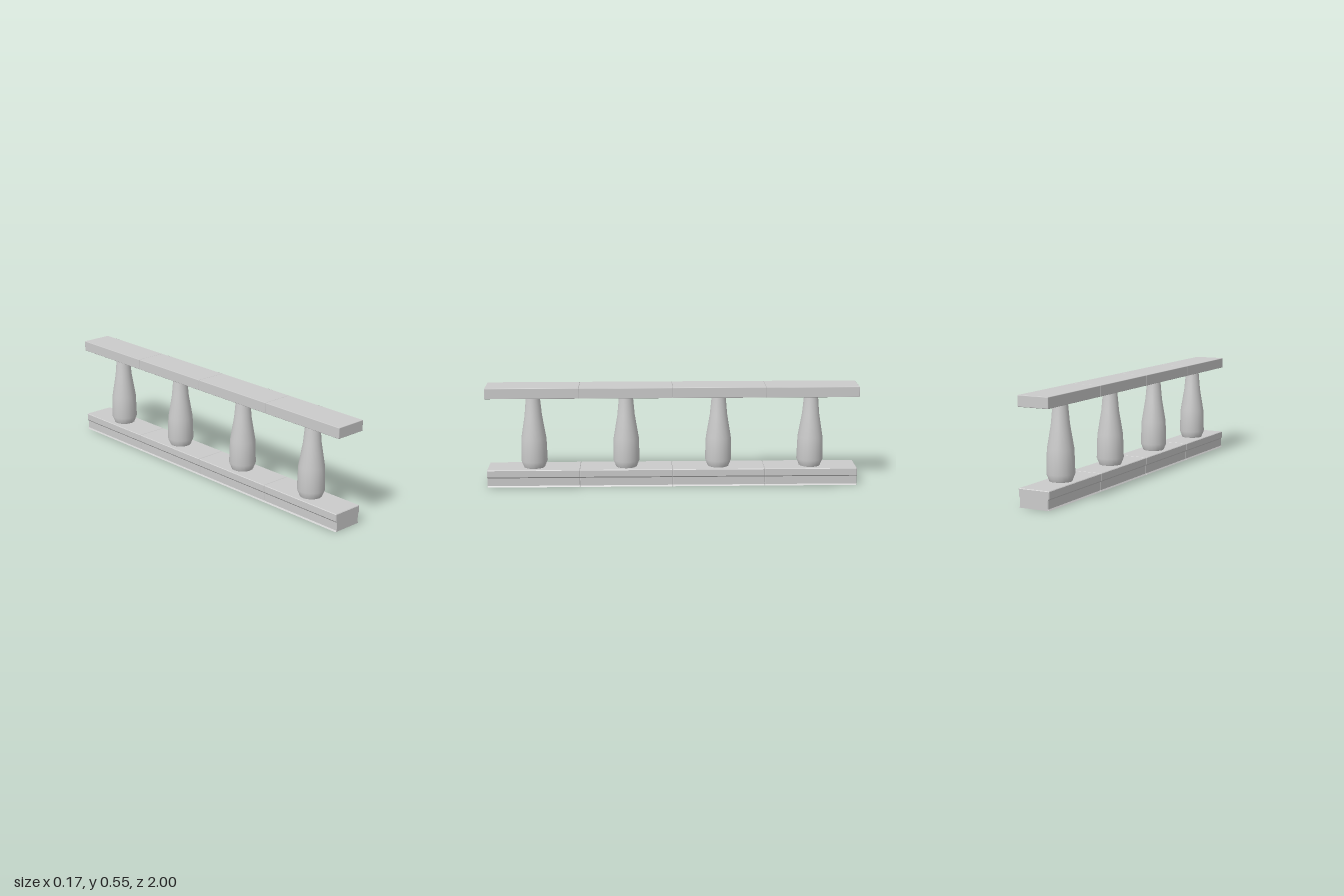
import * as THREE from 'three';
import { RoundedBoxGeometry } from 'three/addons/geometries/RoundedBoxGeometry.js';

const BAY = 0.5, BAYS = 4, BEVEL = 0.003;

const material = new THREE.MeshStandardMaterial({ color: 0xcccccc });
const shellMaterial = new THREE.MeshStandardMaterial({ color: 0xcccccc, side: THREE.DoubleSide });

// Right half of the moulded plinth section, bottom to top, then mirrored
const half = [
  [0.086, 0], [0.08, 0.007], [0.08, 0.05], [0.086, 0.057], [0.086, 0.092], [0.083, 0.095],
];
const section = [...half, ...half.map(([x, y]) => [-x, y]).reverse()];

// Section shrunk slightly for the chamfered ends
const endSection = section.map(([x, y]) => [x * (1 - BEVEL / 0.086), y * (1 - BEVEL / 0.095)]);

// Plinth skin swept along z, open underneath
function plinthSkin() {
  const geo = new THREE.PlaneGeometry(1, 1, 3, section.length - 1);
  const pos = geo.attributes.position;
  const z = [-BAY / 2, -BAY / 2 + BEVEL, BAY / 2 - BEVEL, BAY / 2];
  for (let i = 0; i < pos.count; i++) {
    const col = i % 4, row = Math.floor(i / 4);
    const [x, y] = (col === 0 || col === 3 ? endSection : section)[row];
    pos.setXYZ(i, x, y, z[col]);
  }
  const flat = geo.toNonIndexed();
  flat.computeVertexNormals();
  return flat;
}

// Turned baluster
function balusterGeometry() {
  const profile = [
    [0, 0.092], [0.057, 0.092], [0.058, 0.097], [0.072, 0.132],
    [0.068, 0.255], [0.047, 0.38], [0.037, 0.49],
  ];
  return new THREE.LatheGeometry(profile.map(([r, y]) => new THREE.Vector2(r, y)), 20);
}

export function createModel() {
  const model = new THREE.Group();
  model.name = 'balustrade';

  const skin = plinthSkin();
  const cap = new THREE.ShapeGeometry(new THREE.Shape(endSection.map(([x, y]) => new THREE.Vector2(x, y))));
  const baluster = balusterGeometry();
  const rail = new RoundedBoxGeometry(0.172, 0.057, BAY, 1, BEVEL);

  for (let i = 0; i < BAYS; i++) {
    const bay = new THREE.Group();
    bay.name = `bay${i + 1}`;
    bay.position.z = (i - (BAYS - 1) / 2) * BAY;

    const add = (name, geometry, mat) => {
      const mesh = new THREE.Mesh(geometry, mat);
      mesh.name = name;
      bay.add(mesh);
      return mesh;
    };

    add('plinth', skin, shellMaterial);
    add('plinthFrontEnd', cap, shellMaterial).position.z = BAY / 2;
    const back = add('plinthBackEnd', cap, shellMaterial);
    back.position.z = -BAY / 2;
    back.rotation.y = Math.PI;
    add('baluster', baluster, shellMaterial);
    add('handrail', rail, material).position.y = 0.5165;

    model.add(bay);
  }
  return model;
}
